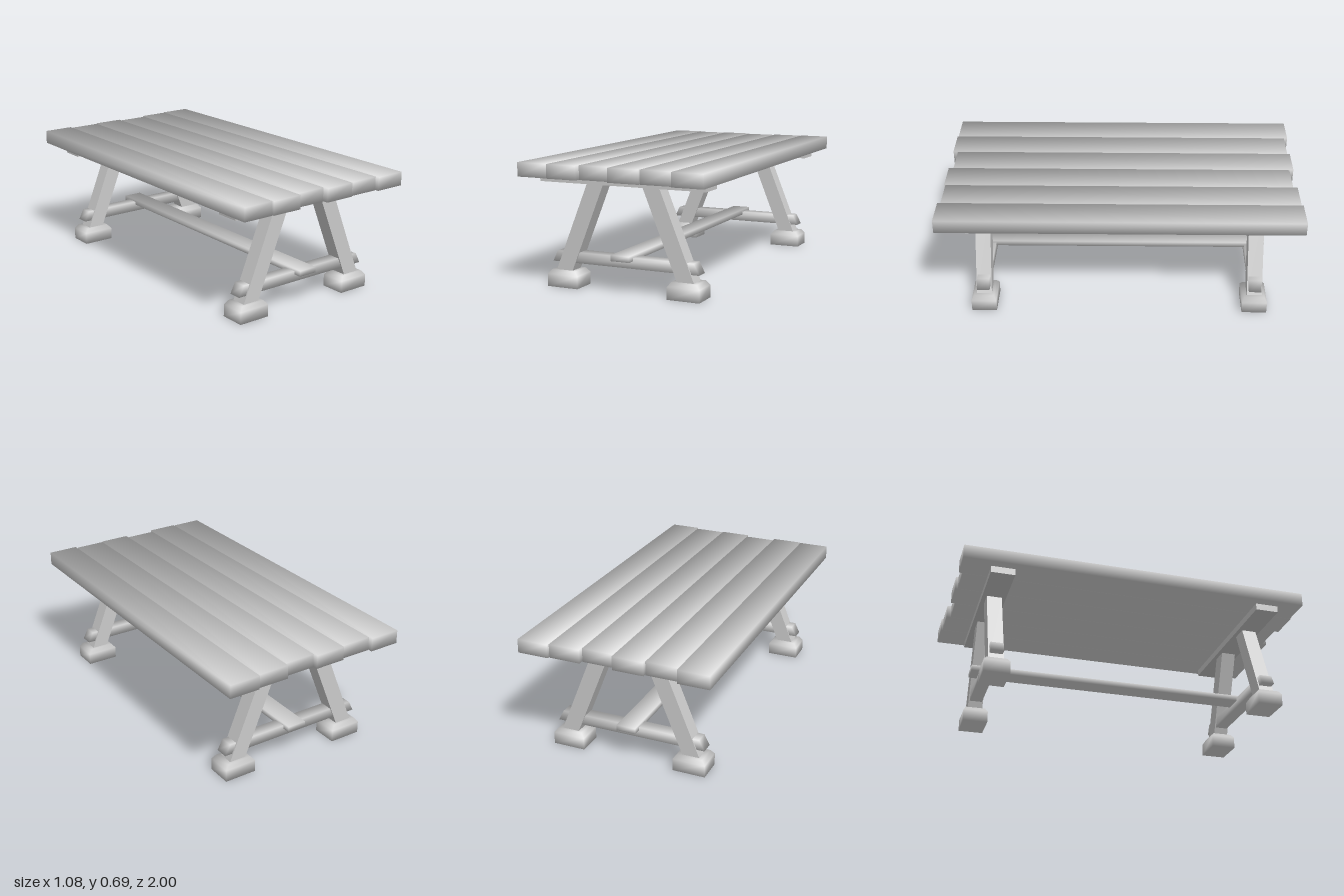
import * as THREE from 'three';
import { mergeVertices } from 'three/addons/utils/BufferGeometryUtils.js';

const grey = new THREE.MeshStandardMaterial({ color: 0xcccccc });

// Solid timber through stacked rectangles, each [y, x0, x1, z0, z1], from bottom to top.
function timber(levels) {
  const pos = [], index = [];
  for (const [y, x0, x1, z0, z1] of levels) {
    pos.push(x0, y, z1, x1, y, z1, x1, y, z0, x0, y, z0);
  }
  const quad = (a, b, c, d) => index.push(a, b, c, a, c, d);
  quad(3, 2, 1, 0);
  for (let l = 0; l < levels.length - 1; l++) {
    for (let i = 0; i < 4; i++) {
      const a = l * 4 + i, b = l * 4 + (i + 1) % 4;
      quad(a, b, b + 4, a + 4);
    }
  }
  const t = (levels.length - 1) * 4;
  quad(t, t + 1, t + 2, t + 3);
  const geo = new THREE.BufferGeometry();
  geo.setAttribute('position', new THREE.Float32BufferAttribute(pos, 3));
  geo.setIndex(index);
  return geo;
}

// Shared corner normals pointing outwards, so the shading rolls over the edges.
function soften(geo) {
  const soft = mergeVertices(geo);
  soft.computeBoundingBox();
  const centre = soft.boundingBox.getCenter(new THREE.Vector3());
  const p = soft.attributes.position, normals = [], n = new THREE.Vector3();
  for (let i = 0; i < p.count; i++) {
    n.fromBufferAttribute(p, i).sub(centre);
    n.set(Math.sign(n.x), Math.sign(n.y), Math.sign(n.z)).normalize();
    normals.push(n.x, n.y, n.z);
  }
  soft.setAttribute('normal', new THREE.Float32BufferAttribute(normals, 3));
  return soft;
}

function facet(geo) {
  const flat = geo.toNonIndexed();
  flat.computeVertexNormals();
  return flat;
}

function add(parent, name, geo) {
  const mesh = new THREE.Mesh(geo, grey);
  mesh.name = name;
  parent.add(mesh);
}

// One A-shaped trestle centred at depth z
function trestle(name, z) {
  const group = new THREE.Group();
  group.name = name;
  add(group, 'batten', facet(timber([
    [0.572, -0.485, 0.485, -0.067, 0.067],
    [0.628, -0.485, 0.485, -0.067, 0.067]])));
  add(group, 'crossbar', soften(timber([
    [0.135, -0.433, 0.433, -0.036, 0.036],
    [0.194, -0.403, 0.403, -0.036, 0.036]])));
  for (const side of [-1, 1]) {
    const label = side > 0 ? 'left' : 'right';
    const span = (a, b) => side > 0 ? [a, b] : [-b, -a];
    // Slanted leg, running slightly into the foot and the batten
    add(group, label + 'Leg', facet(timber([
      [0.08, ...span(0.314, 0.411), -0.043, 0.043],
      [0.58, ...span(0.112, 0.209), -0.043, 0.043]])));
    // Foot block with a bevelled top
    add(group, label + 'Foot', soften(timber([
      [0, ...span(0.265, 0.449), -0.071, 0.071],
      [0.068, ...span(0.265, 0.449), -0.071, 0.071],
      [0.092, ...span(0.285, 0.429), -0.057, 0.057]])));
  }
  group.position.z = z;
  return group;
}

export function createModel() {
  const table = new THREE.Group();
  table.name = 'table';

  // Tabletop planks with uneven ends: [back z, front z]
  const top = new THREE.Group();
  top.name = 'tabletop';
  const ends = [[-0.997, 0.984], [-0.976, 0.99], [-0.99, 0.963],
    [-0.966, 0.99], [-0.99, 0.982], [-1, 1]];
  ends.forEach(([z0, z1], i) => {
    const x = (i - 2.5) * 0.18;
    add(top, 'plank' + (i + 1), soften(timber([
      [0.61, x - 0.0875, x + 0.0875, z0, z1],
      [0.686, x - 0.0875, x + 0.0875, z0, z1]])));
  });
  table.add(top);

  table.add(trestle('frontTrestle', 0.781), trestle('backTrestle', -0.771));

  // Long stretcher resting on both crossbars
  add(table, 'stretcher', soften(timber([
    [0.176, -0.055, 0.055, -0.853, 0.863],
    [0.208, -0.055, 0.055, -0.853, 0.863]])));

  return table;
}
